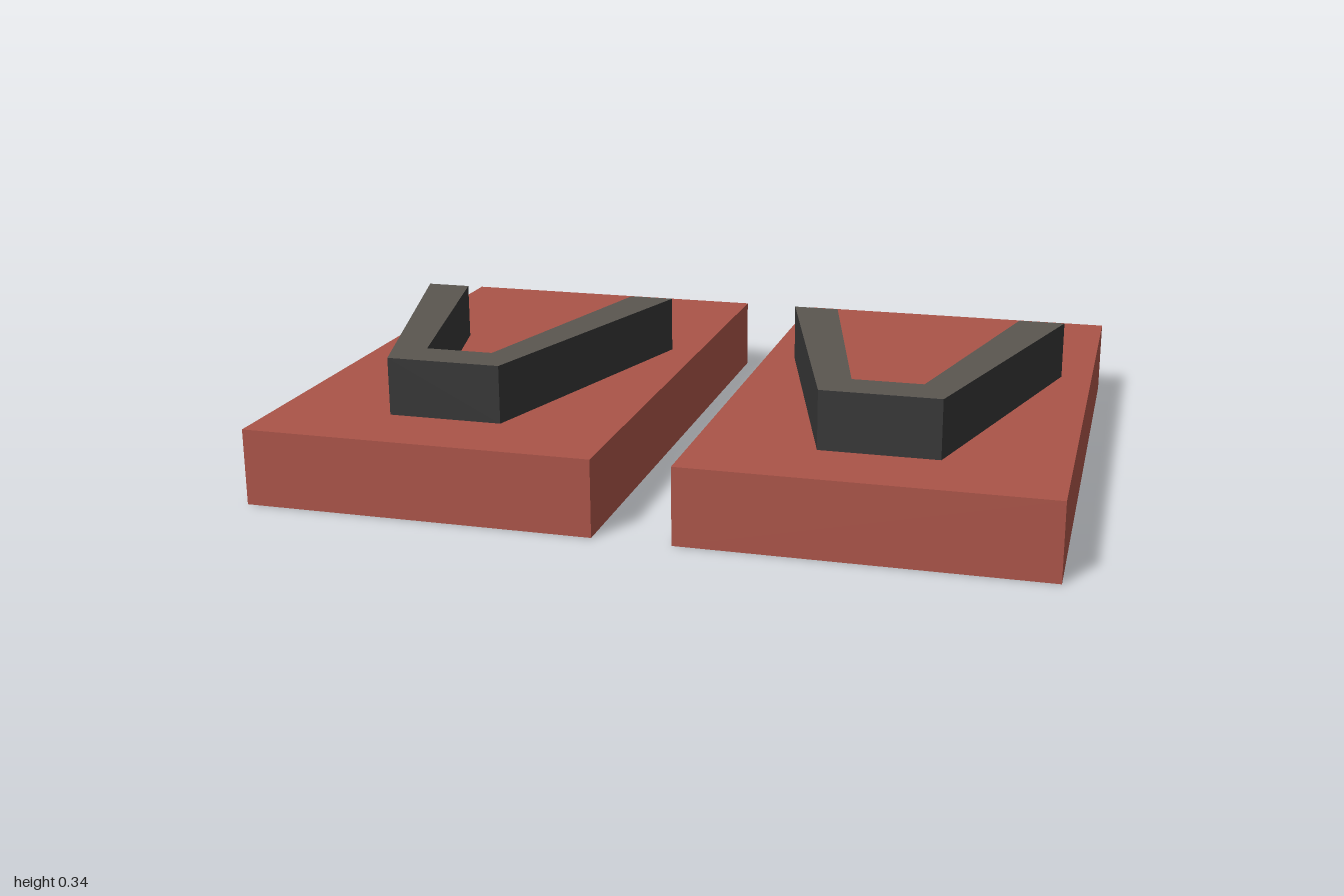
import * as THREE from 'three';

const SOLE = { width: 0.9, height: 0.196, length: 1.566, x: 0.549 };
const STRAP_TOP = 0.345;

function material(name, color) {
  const m = new THREE.MeshStandardMaterial({ color });
  m.name = name;
  return m;
}

// V-shaped strap outline: shape y becomes z, blunt end towards the front
function strapGeometry() {
  const outline = [
    [-0.37, -0.197], [-0.25, -0.197], [-0.088, 0.47], [0.088, 0.47],
    [0.25, -0.197], [0.37, -0.197], [0.148, 0.579], [-0.148, 0.579],
  ];
  const shape = new THREE.Shape(outline.map(([x, z]) => new THREE.Vector2(x, z)));
  const geometry = new THREE.ExtrudeGeometry(shape, {
    depth: STRAP_TOP - SOLE.height,
    bevelEnabled: false,
  });
  return geometry.rotateX(Math.PI / 2).translate(0, STRAP_TOP, 0);
}

export function createModel() {
  const model = new THREE.Group();
  model.name = 'sandals';

  const brick = material('brick red', 0xaa5448);
  const warmGrey = material('warm grey', 0x5a5650);
  const charcoal = material('charcoal', 0x363636);

  const soleGeometry = new THREE.BoxGeometry(SOLE.width, SOLE.height, SOLE.length)
    .translate(0, SOLE.height / 2, 0);
  const strap = strapGeometry();

  for (const side of [1, -1]) {
    const sandal = new THREE.Group();
    sandal.name = side > 0 ? 'leftSandal' : 'rightSandal';
    sandal.position.x = side * SOLE.x;

    // Flat slab sole
    const soleMesh = new THREE.Mesh(soleGeometry, brick);
    soleMesh.name = 'sole';

    // Strap with lighter top face and dark sides
    const strapMesh = new THREE.Mesh(strap, [warmGrey, charcoal]);
    strapMesh.name = 'strap';

    sandal.add(soleMesh, strapMesh);
    model.add(sandal);
  }
  return model;
}
